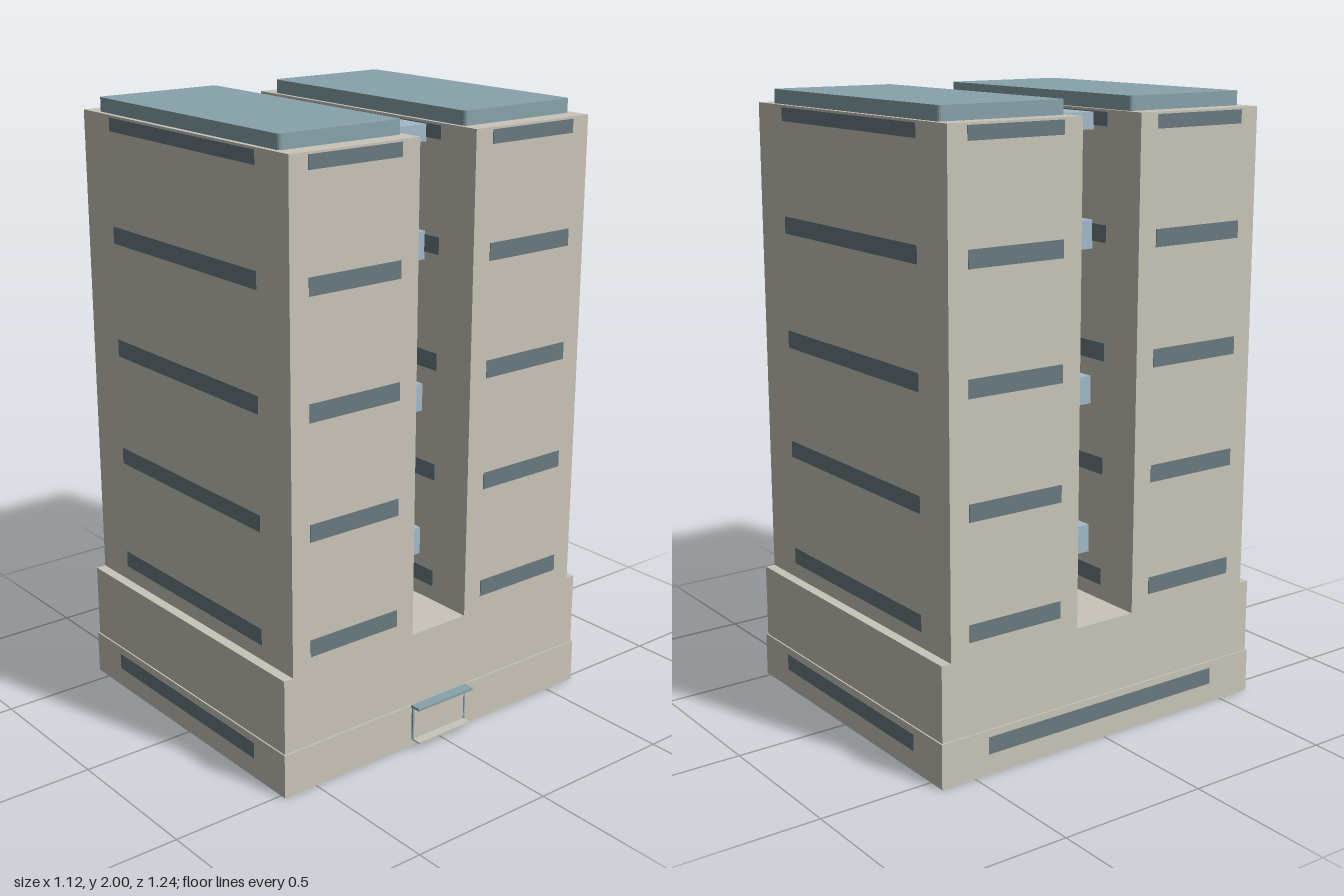
import * as THREE from 'three';

const mat = (name, color) => {
  const m = new THREE.MeshStandardMaterial({ color });
  m.name = name;
  return m;
};

export function createModel() {
  const model = new THREE.Group();
  model.name = 'twinTowerBuilding';
  const stone = mat('stone', 0xc9c5b9);
  const glass = mat('darkGlass', 0x6a7b81);
  const teal = mat('tealRoof', 0x88a3aa);
  const blue = mat('paleBlue', 0xa3bac9);

  // Box given by its extents on each axis
  const block = (name, material, [x0, x1], [y0, y1], [z0, z1], parent = model) => {
    const mesh = new THREE.Mesh(new THREE.BoxGeometry(x1 - x0, y1 - y0, z1 - z0), material);
    mesh.position.set((x0 + x1) / 2, (y0 + y1) / 2, (z0 + z1) / 2);
    mesh.name = name;
    parent.add(mesh);
    return mesh;
  };
  // Window strips: thin plates centred on a wall plane
  const T = 0.002;
  const stripZ = (xs, ys, z, parent) => block('windowStrip', glass, xs, ys, [z - T, z + T], parent);
  const stripX = (x, ys, zs, parent) => block('windowStrip', glass, [x - T, x + T], ys, zs, parent);

  const X0 = -0.555, X1 = 0.515;

  // Podium with a slightly wider ground floor
  block('groundFloor', stone, [-0.56, 0.52], [0, 0.145], [-0.62, 0.62]);
  block('podium', stone, [X0, X1], [0.145, 0.39], [-0.615, 0.615]);
  for (const z of [-0.62, 0.62]) stripZ([-0.41, 0.365], [0.067, 0.122], z);
  stripX(-0.56, [0.067, 0.122], [-0.45, 0.45]);

  // Flat roof slab with rounded corners
  const roofSlab = (x0, x1, z0, z1, y, h) => {
    const r = 0.015, s = new THREE.Shape();
    s.moveTo(x0 + r, z0);
    s.lineTo(x1 - r, z0).quadraticCurveTo(x1, z0, x1, z0 + r);
    s.lineTo(x1, z1 - r).quadraticCurveTo(x1, z1, x1 - r, z1);
    s.lineTo(x0 + r, z1).quadraticCurveTo(x0, z1, x0, z1 - r);
    s.lineTo(x0, z0 + r).quadraticCurveTo(x0, z0, x0 + r, z0);
    const g = new THREE.ExtrudeGeometry(s, { depth: h, bevelEnabled: false, curveSegments: 4 });
    g.rotateX(-Math.PI / 2).translate(0, y, 0);
    const mesh = new THREE.Mesh(g, teal);
    mesh.name = 'roofSlab';
    return mesh;
  };

  // Two matching towers
  const floors = [[0.44, 0.495], [0.81, 0.865], [1.178, 1.235], [1.55, 1.605], [1.905, 1.948]];
  for (const side of [1, -1]) {
    const tower = new THREE.Group();
    tower.name = side > 0 ? 'frontTower' : 'backTower';
    const span = (a, b) => (side > 0 ? [a, b] : [-b, -a]);
    block('towerWalls', stone, [X0, X1], [0.39, 1.955], span(0.11, 0.582), tower);
    for (const ys of floors) {
      for (const z of [0.11, 0.582]) stripZ([-0.402, 0.362], ys, side * z, tower);
      for (const x of [X0, X1]) stripX(x, ys, span(0.177, 0.515), tower);
    }
    // The slab outline's second axis turns into -z when laid flat
    const [a, b] = span(0.124, 0.565);
    tower.add(roofSlab(-0.49, 0.45, -b, -a, 1.955, 0.045));
    model.add(tower);
  }

  // Bridges linking the towers
  for (const ys of [[0.535, 0.627], [1.03, 1.12], [1.525, 1.615], [1.892, 1.945]])
    block('skyBridge', blue, [-0.335, 0.295], ys, [-0.11, 0.11]);

  // Entrance: panel, frame, canopy and step
  const entrance = new THREE.Group();
  entrance.name = 'entrance';
  block('entrancePanel', stone, [0.52, 0.524], [0.022, 0.14], [-0.108, 0.108], entrance);
  for (const z of [-0.11, 0.11])
    block('entranceFrame', teal, [0.52, 0.526], [0.022, 0.14], [z - 0.003, z + 0.003], entrance);
  block('canopy', teal, [0.52, 0.558], [0.139, 0.147], [-0.116, 0.116], entrance);
  block('step', stone, [0.52, 0.555], [0.02, 0.025], [-0.11, 0.11], entrance);
  model.add(entrance);

  return model;
}
